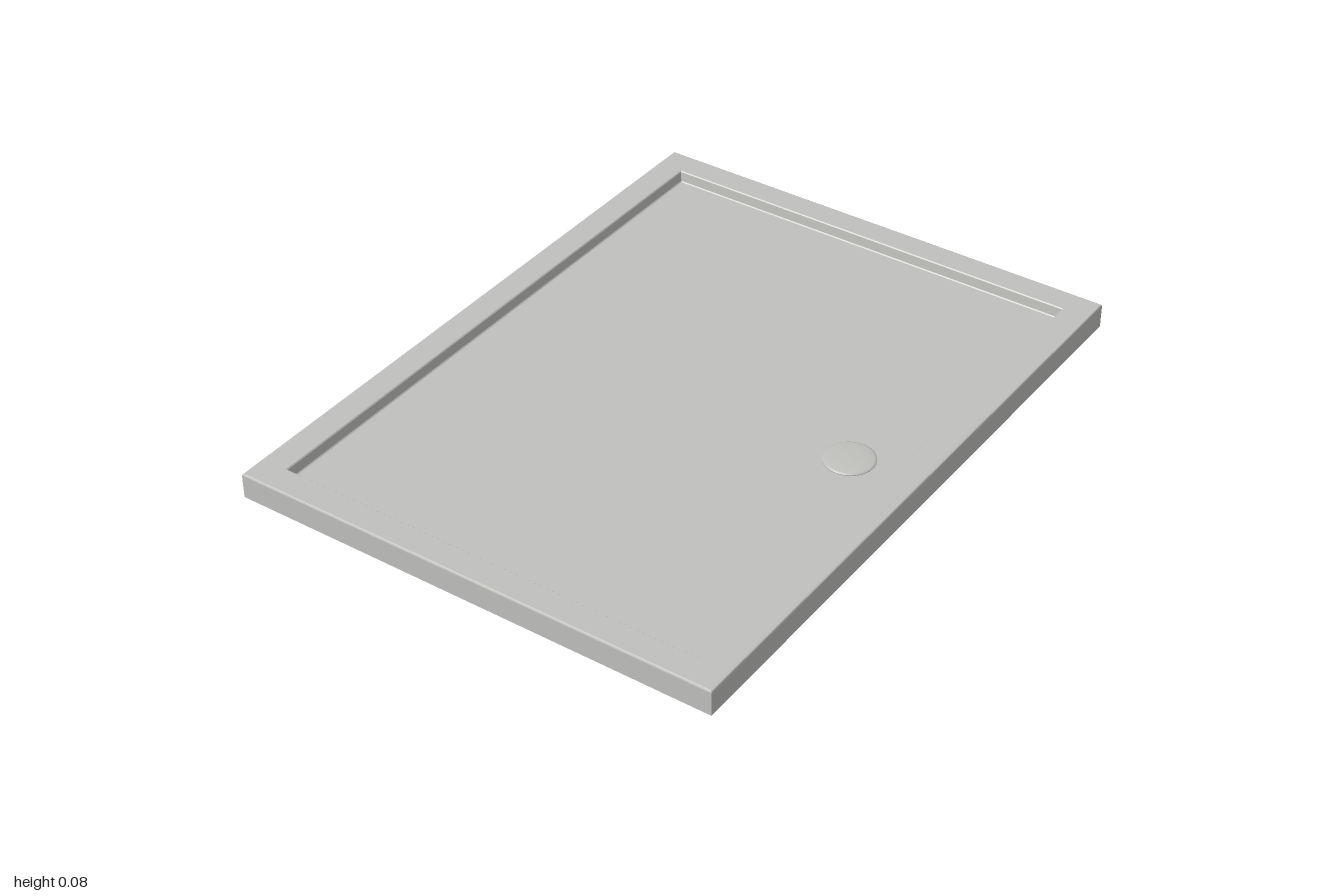
import * as THREE from 'three';

const enamel = new THREE.MeshStandardMaterial({ color: 0xc0c0bd, side: THREE.DoubleSide });
enamel.name = 'pale grey enamel';

// Joins rectangular rings [halfWidth, halfDepth, y] with flat faces
function rectangularShell(rings) {
  const corners = ([w, d, y]) => [[w, y, d], [w, y, -d], [-w, y, -d], [-w, y, d]];
  const positions = [];
  for (let i = 0; i < rings.length - 1; i++) {
    const lower = corners(rings[i]);
    const upper = corners(rings[i + 1]);
    for (let k = 0; k < 4; k++) {
      const n = (k + 1) % 4;
      for (const p of [lower[k], lower[n], upper[n], lower[k], upper[n], upper[k]]) positions.push(...p);
    }
  }
  const geometry = new THREE.BufferGeometry();
  geometry.setAttribute('position', new THREE.Float32BufferAttribute(positions, 3));
  geometry.computeVertexNormals();
  return geometry;
}

export function createModel() {
  const group = new THREE.Group();
  group.name = 'showerTray';
  const add = (name, geometry) => {
    const mesh = new THREE.Mesh(geometry, enamel);
    mesh.name = name;
    group.add(mesh);
    return mesh;
  };
  const top = 0.077, floorY = 0.042;

  // Outer skirt, open underneath, with a slightly eased top edge
  add('skirt', rectangularShell([
    [0.75, 1, 0], [0.75, 1, top - 0.005], [0.7485, 0.9985, top - 0.0015], [0.745, 0.995, top],
  ]));

  // Flat rim and the step down into the basin
  add('rim', rectangularShell([
    [0.745, 0.995, top], [0.668, 0.918, top], [0.665, 0.915, top - 0.003],
    [0.662, 0.912, floorY + 0.003], [0.659, 0.909, floorY],
  ]));

  // Basin floor
  add('floor', new THREE.PlaneGeometry(1.318, 1.818).rotateX(-Math.PI / 2)).position.y = floorY;

  // Low domed drain cover, passing just through the floor
  const profile = [[0, -0.004], [0.07, -0.004], [0.074, 0], [0.074, 0.003], [0.068, 0.006], [0.04, 0.008], [0, 0.009]];
  const drain = add('drainCover', new THREE.LatheGeometry(profile.map(([r, y]) => new THREE.Vector2(r, y)), 40));
  drain.position.set(0.515, floorY, -0.005);

  return group;
}
